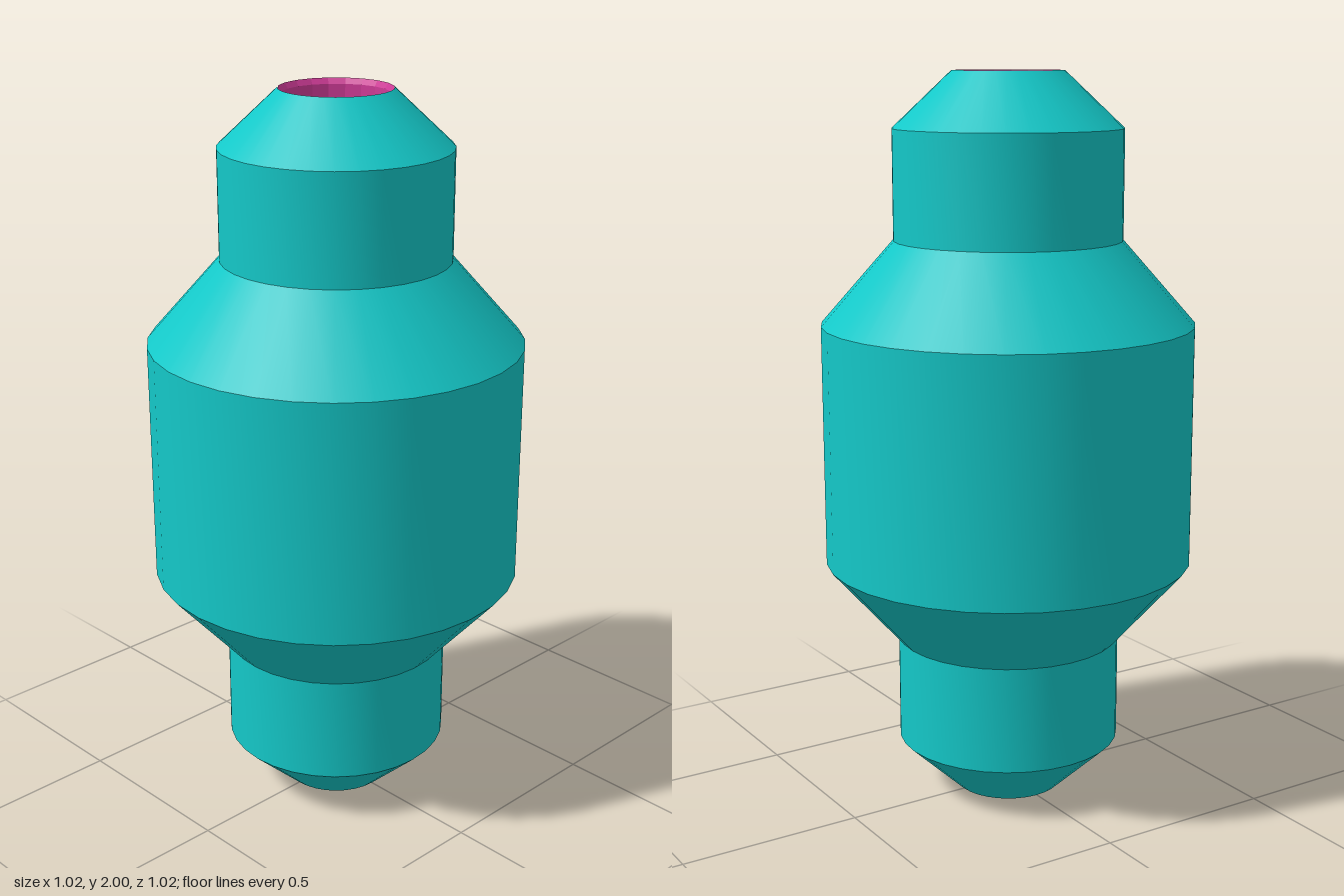
import * as THREE from 'three';
import { toCreasedNormals } from 'three/addons/utils/BufferGeometryUtils.js';

const paint = (color, extra = {}) => new THREE.MeshStandardMaterial({ color, ...extra });

// Surface of revolution with sharp edges between its bands
function revolve(name, profile, sides, material) {
  const points = profile.map(([r, y]) => new THREE.Vector2(r, y));
  const geometry = toCreasedNormals(new THREE.LatheGeometry(points, sides), 0.35);
  const mesh = new THREE.Mesh(geometry, material);
  mesh.name = name;
  return mesh;
}

export function createModel() {
  const model = new THREE.Group();
  model.name = 'module';
  const teal = paint(0x14c8c8);
  const pink = paint(0xd03c98, { flatShading: true });
  const blue = paint(0x2a22b8);

  // Outer hull: the lower half profile is mirrored for the upper half
  const half = [[0.15, 0], [0.31, 0.15], [0.31, 0.445], [0.508, 0.67]];
  const upper = half.map(([r, y]) => [r, 2 - y]).reverse();
  model.add(revolve('hull', [...half, ...upper], 32, teal));

  // Passage through the middle, with a bevelled lip at each end, facing inward
  const bore = [[0.15, 2], [0.141, 1.985], [0.141, 0.015], [0.15, 0]];
  model.add(revolve('tunnelLining', bore, 20, pink));

  // Four thin wall panels, each held off the lining by a small rail
  for (let i = 0; i < 4; i++) {
    const side = new THREE.Group();
    side.name = 'wallPanel' + (i + 1);
    const panel = new THREE.Mesh(new THREE.BoxGeometry(0.155, 1.4, 0.006), blue);
    panel.name = 'panel';
    panel.position.set(0, 1, 0.117);
    const rail = new THREE.Mesh(new THREE.BoxGeometry(0.02, 1.4, 0.018), blue);
    rail.name = 'rail';
    rail.position.set(-0.015, 1, 0.128);
    side.add(panel, rail);
    side.rotation.y = i * Math.PI / 2;
    model.add(side);
  }
  return model;
}
